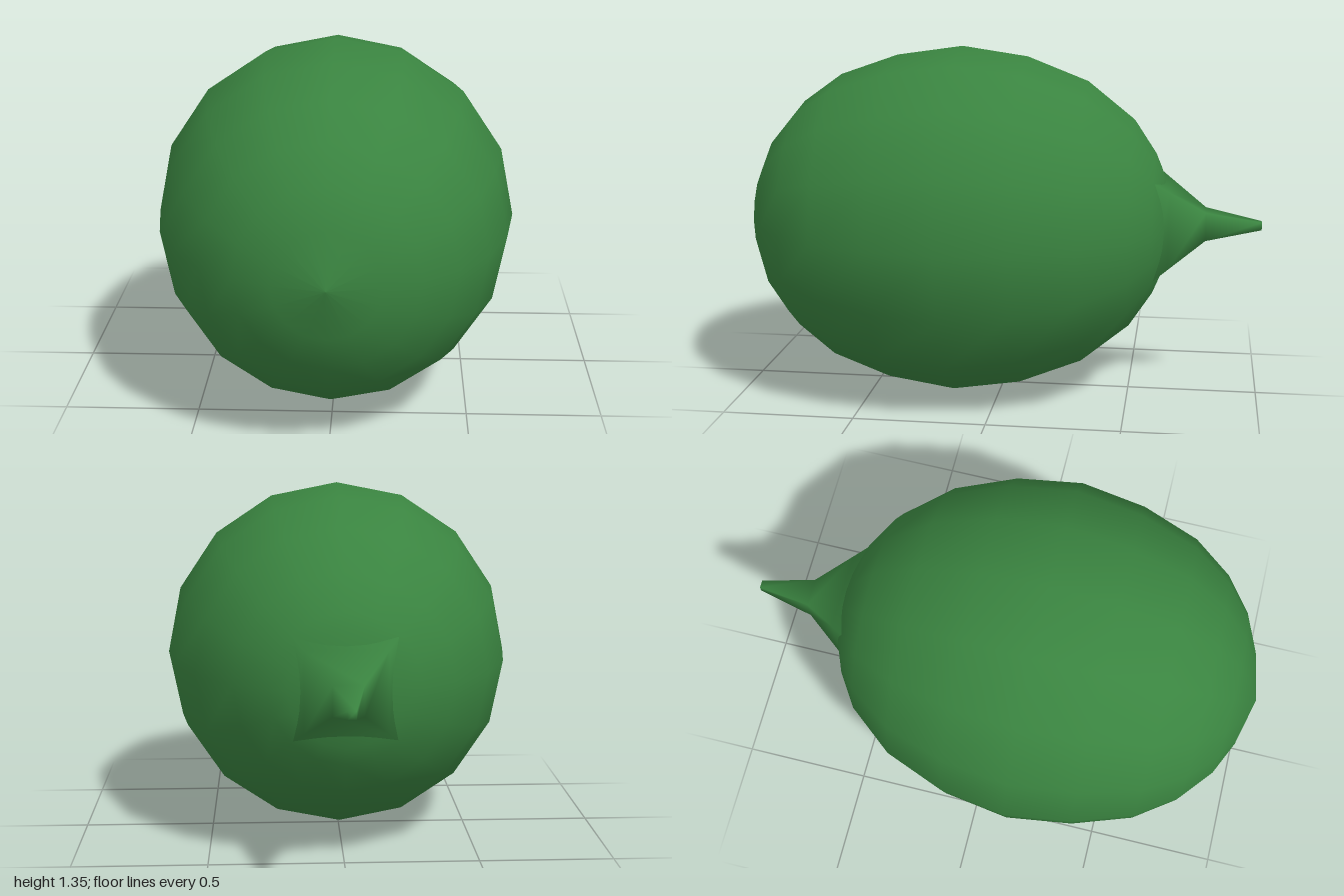
import * as THREE from 'three';

const CENTER_Y = 0.673;

// Revolve [z, radius] pairs (back to front) around the z axis
function revolve(name, profile, sides, phase, material) {
  const points = profile.map(([z, r]) => new THREE.Vector2(r, z));
  const geometry = new THREE.LatheGeometry(points, sides, phase);
  geometry.rotateX(Math.PI / 2);
  const mesh = new THREE.Mesh(geometry, material);
  mesh.name = name;
  mesh.position.y = CENTER_Y;
  return mesh;
}

export function createModel() {
  const group = new THREE.Group();
  group.name = 'fruit';
  const green = new THREE.MeshStandardMaterial({ color: 0x3a8440 });

  // Egg-shaped body, slightly fuller towards the front
  const body = [
    [-0.66, 0], [-0.645, 0.12], [-0.617, 0.21], [-0.59, 0.275], [-0.505, 0.403],
    [-0.328, 0.545], [-0.095, 0.636], [0.158, 0.673], [0.413, 0.636], [0.638, 0.557],
    [0.788, 0.449], [0.892, 0.323], [0.953, 0.19], [1, 0],
  ];
  group.add(revolve('body', body, 16, 0, green));

  // Square stem flaring into the body, given as [z, half width]
  const stem = [[-1, 0], [-1, 0.015], [-0.787, 0.055], [-0.648, 0.15], [-0.59, 0.19]];
  const corners = stem.map(([z, half]) => [z, half * Math.SQRT2]);
  group.add(revolve('stem', corners, 4, Math.PI / 4, green));

  return group;
}
